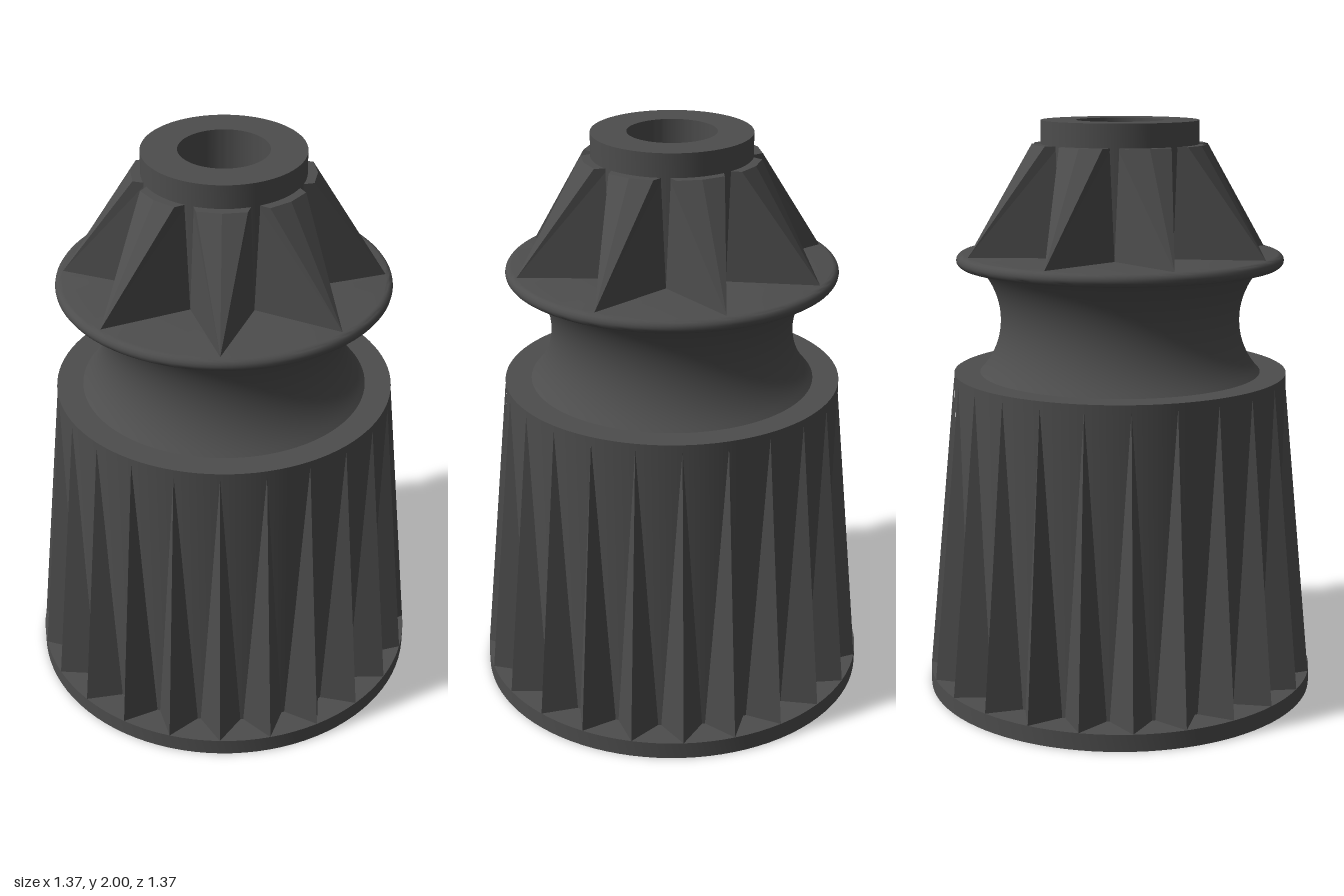
import * as THREE from 'three';
import { toCreasedNormals } from 'three/addons/utils/BufferGeometryUtils.js';

const material = new THREE.MeshStandardMaterial({ color: 0x4d4d4d });
const v = (x, y) => new THREE.Vector2(x, y);

// Points along an arc of a profile
function arc(cx, cy, r, from, to, steps) {
  return Array.from({ length: steps + 1 }, (_, i) => {
    const a = from + (to - from) * i / steps;
    return v(cx + r * Math.cos(a), cy + r * Math.sin(a));
  });
}

// Flat-faced solid from triangles, mirrored across x = 0
function mirroredSolid(triangles) {
  const data = [];
  for (const [a, b, c] of triangles) {
    data.push(...a, ...b, ...c);
    for (const p of [a, c, b]) data.push(-p[0], p[1], p[2]);
  }
  const geo = new THREE.BufferGeometry();
  geo.setAttribute('position', new THREE.Float32BufferAttribute(data, 3));
  geo.computeVertexNormals();
  return geo;
}

// Copies of one geometry spaced evenly around the y axis
function ring(name, geo, count) {
  const group = new THREE.Group();
  group.name = name + 's';
  for (let i = 0; i < count; i++) {
    const mesh = new THREE.Mesh(geo, material);
    mesh.name = name;
    mesh.rotation.y = i * Math.PI * 2 / count;
    group.add(mesh);
  }
  return group;
}

export function createModel() {
  const model = new THREE.Group();
  model.name = 'ribbedCap';

  // Turned body: rim, skirt, neck, flange, spout, bore and hollow underside
  const profile = [
    v(0.685, 0), v(0.685, 0.06), v(0.58, 0.06), v(0.58, 1.135),
    ...arc(0.681, 1.32, 0.266, Math.PI + 0.769, Math.PI - 0.769, 20),
    ...arc(0.5425, 1.5275, 0.0225, -Math.PI / 2, Math.PI / 2, 8),
    v(0.27, 1.55), v(0.27, 2), v(0.15, 2), v(0.15, 0),
    v(0.223, 0), v(0.223, 1.05), v(0.47, 1.05), v(0.47, 0.1),
    ...arc(0.57, 0.1, 0.1, Math.PI, Math.PI * 1.44, 6),
    v(0.55, 0), v(0.685, 0),
  ];
  const body = new THREE.Mesh(
    toCreasedNormals(new THREE.LatheGeometry(profile, 96), 0.5), material);
  body.name = 'body';
  model.add(body);

  // Grip ribs: narrow pyramids that flare out towards the rim
  const half = 0.122;
  const ribTop = [0, 1.115, 0.581];
  const ribFoot = [0, 0.06, 0.685];
  const ribSide = [0.58 * Math.sin(half), 0.06, 0.58 * Math.cos(half)];
  model.add(ring('gripRib', mirroredSolid([[ribTop, ribFoot, ribSide]]), 24));

  // Pointed fins around the spout, sloping down to the flange
  const tip = [0, 1.55, 0.54];
  const crest = [0, 1.92, 0.303];
  const shoulder = [0.08, 1.92, 0.29];
  const backTop = [0.092, 1.92, 0.245];
  const backFoot = [0.105, 1.55, 0.245];
  const backMid = [0, 1.92, 0.245];
  model.add(ring('fin', mirroredSolid([
    [tip, shoulder, crest],
    [tip, backFoot, backTop],
    [tip, backTop, shoulder],
    [crest, shoulder, backTop],
    [crest, backTop, backMid],
  ]), 8));

  // Locking pins on the inner wall
  for (const side of [1, -1]) {
    const pin = new THREE.Mesh(new THREE.CylinderGeometry(0.04, 0.04, 0.15, 20), material);
    pin.name = 'lockingPin';
    pin.rotation.z = Math.PI / 2;
    pin.position.set(side * 0.41, 0.14, 0);
    model.add(pin);
  }

  return model;
}
